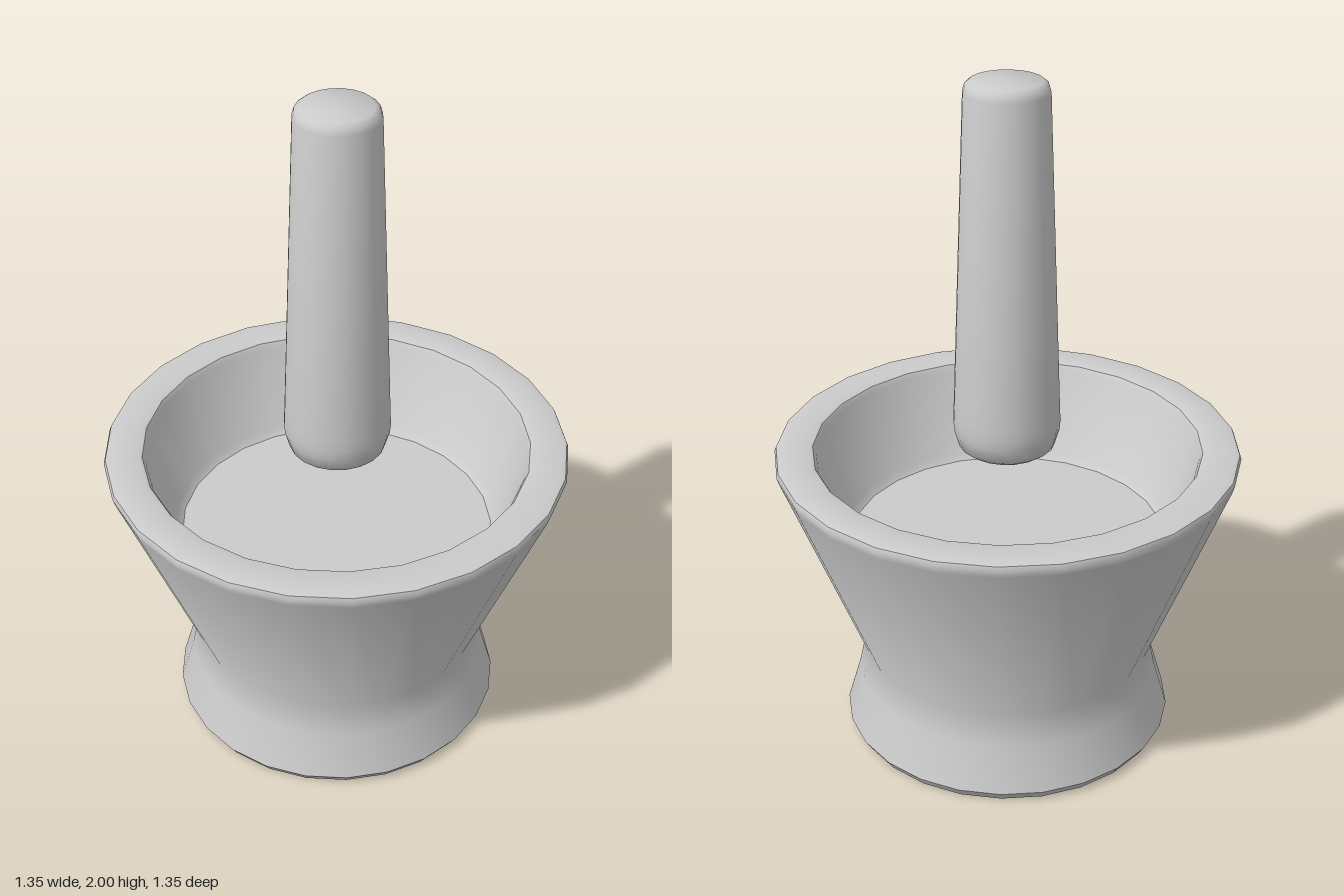
import * as THREE from 'three';
import { toCreasedNormals } from 'three/addons/utils/BufferGeometryUtils.js';

// Turned part: a profile of [radius, height] points, from the underside up, spun about y
function turned(name, profile, sides) {
  const points = profile.map(([r, y]) => new THREE.Vector2(r, y));
  const lathe = new THREE.LatheGeometry(points, sides, Math.PI / 2);
  const material = new THREE.MeshStandardMaterial({ color: 0xcccccc });
  const mesh = new THREE.Mesh(toCreasedNormals(lathe, 0.75), material);
  mesh.name = name;
  return mesh;
}

export function createModel() {
  const group = new THREE.Group();
  group.name = 'mortarAndPestle';

  // Mortar: chamfered foot, narrow waist, flared bowl with rounded rim, flat floor
  const mortar = turned('mortar', [
    [0, 0], [0.477, 0], [0.496, 0.03],
    [0.455, 0.17], [0.435, 0.265],
    [0.671, 0.88], [0.678, 0.903], [0.673, 0.915], [0.655, 0.92],
    [0.58, 0.92], [0.567, 0.916], [0.558, 0.9],
    [0.485, 0.64], [0.465, 0.62], [0, 0.62],
  ], 25);
  mortar.position.x = -0.003;

  // Pestle: tapered handle with a rounded top and a chamfered grinding end
  const pestle = turned('pestle', [
    [0, 0.91], [0.12, 0.91], [0.14, 0.925],
    [0.153, 0.97], [0.156, 1.0], [0.154, 1.04],
    [0.119, 1.97], [0.113, 1.99], [0.1, 2], [0, 2],
  ], 20);

  group.add(mortar, pestle);
  return group;
}
